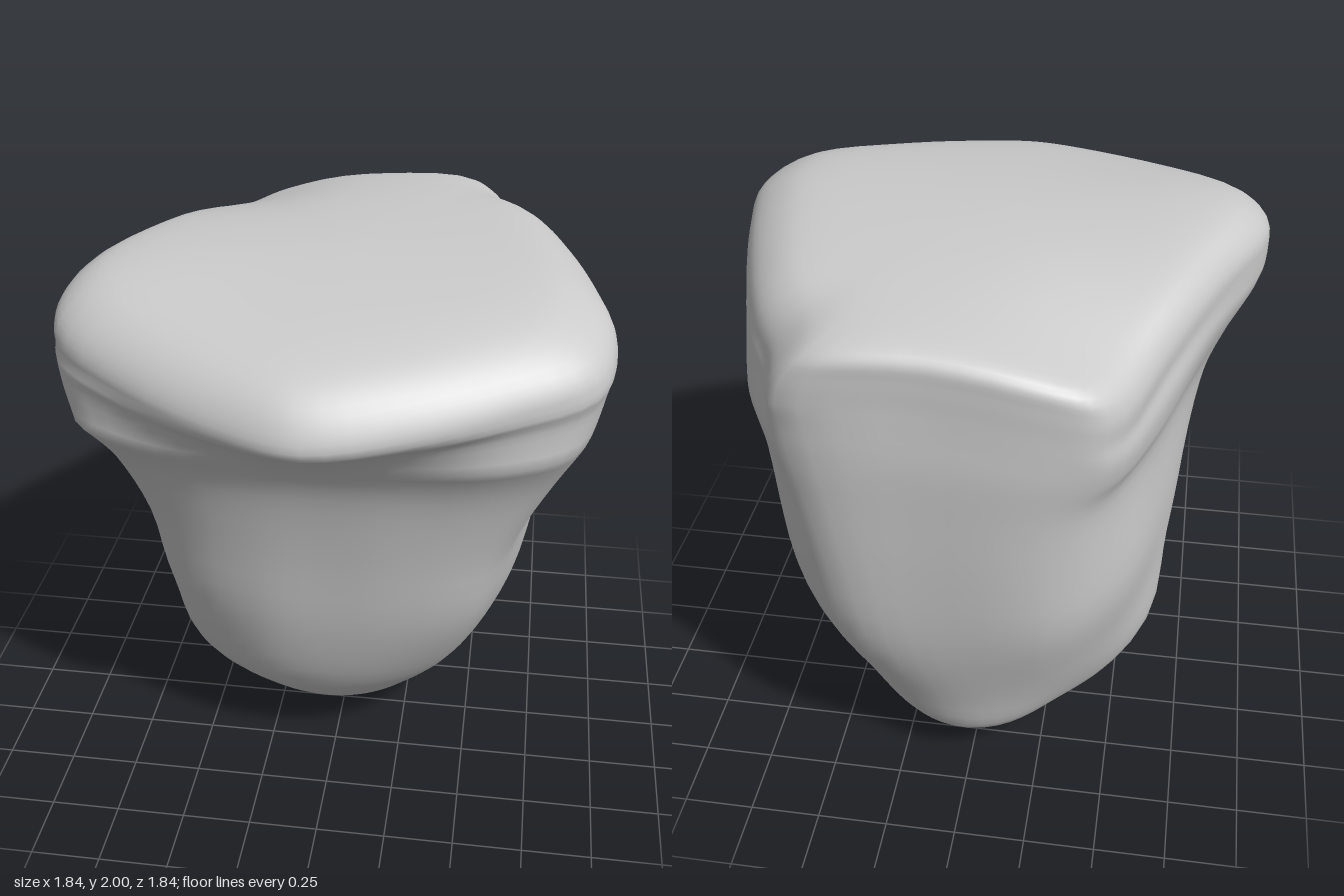
import * as THREE from 'three';

// Plan outlines (x, z), matching point for point, from the front round by +x.
const TOP_OUTLINE = [
  [0, .92], [.3, .84], [.6, .7], [.86, .53], [.92, .28], [.88, .05], [.8, -.25], [.7, -.54], [.61, -.7], [.53, -.9],
  [.1, -.92], [-.3, -.92], [-.46, -.87], [-.61, -.56], [-.77, -.19], [-.92, .2], [-.88, .45], [-.6, .68], [-.22, .87],
];
const SHOULDER_OUTLINE = [
  [0, .67], [.3, .66], [.58, .62], [.8, .5], [.87, .25], [.85, .02], [.8, -.25], [.73, -.55], [.64, -.72], [.5, -.89],
  [.1, -.92], [-.28, -.91], [-.44, -.84], [-.58, -.58], [-.7, -.2], [-.81, .18], [-.8, .48], [-.57, .61], [-.24, .66],
];
const BODY_OUTLINE = [
  [0, .53], [.25, .53], [.45, .49], [.58, .41], [.67, .18], [.73, -.08], [.72, -.35], [.67, -.58], [.58, -.73], [.42, -.88],
  [.1, -.9], [-.25, -.89], [-.42, -.8], [-.56, -.6], [-.65, -.3], [-.7, .05], [-.66, .26], [-.52, .43], [-.25, .52],
];
// Extents by height: y, xMin, xMax, zFront, zBack
const LEVELS = [
  [0, -.1, 0, -.12, -.26],
  [.03, -.2, .16, -.02, -.4],
  [.1, -.32, .29, .1, -.54],
  [.2, -.5, .4, .23, -.7],
  [.4, -.65, .54, .39, -.77],
  [.7, -.67, .66, .49, -.85],
  [1.05, -.7, .73, .55, -.89],
  [1.35, -.76, .81, .62, -.91],
  [1.55, -.85, .88, .71, -.92],
  [1.7, -.91, .91, .82, -.92],
  [1.79, -.92, .92, .92, -.92],
  [1.88, -.91, .88, .9, -.92],
  [1.95, -.83, .77, .82, -.91],
  [1.98, -.7, .64, .68, -.82],
  [1.99, -.4, .4, .4, -.5],
  [1.995, -.08, .08, .08, -.12],
];
const SEGMENTS = 76, STEPS = 4;
const { lerp, smoothstep, clamp } = THREE.MathUtils;

// Smooth closed outline, scaled to 0..1 in both directions
function unitOutline(points) {
  const curve = new THREE.CatmullRomCurve3(points.map(([x, z]) => new THREE.Vector3(x, 0, z)), true, 'centripetal');
  const box = new THREE.Box3().setFromPoints(curve.getPoints(200));
  const size = box.getSize(new THREE.Vector3());
  return Array.from({ length: SEGMENTS }, (_, i) => {
    const p = curve.getPoint(i / SEGMENTS).sub(box.min);
    return [p.x / size.x, p.z / size.z];
  });
}

// The same outline pulled onto a circle for the base, flattened at one back corner
function roundOutline(outline) {
  return outline.map(([u, v]) => {
    const direction = new THREE.Vector2(u - .5, v - .5).normalize();
    const corner = Math.max(0, -(direction.x + direction.y) / Math.SQRT2);
    direction.multiplyScalar(.5 * (1 - .22 * corner ** 4));
    return [.5 + direction.x, .5 + direction.y];
  });
}

// Catmull-Rom value between neighbouring levels
function levelAt(t) {
  const last = LEVELS.length - 1, i = Math.min(Math.floor(t), last - 1), f = t - i;
  const row = (k) => LEVELS[clamp(k, 0, last)];
  return LEVELS[0].map((_, c) => {
    const a = row(i - 1)[c], b = row(i)[c], d = row(i + 1)[c], e = row(i + 2)[c];
    return b + .5 * f * (d - a + f * (2 * a - 5 * b + 4 * d - e + f * (3 * (b - d) + e - a)));
  });
}

// Slope of the top, with worn back corners and a slightly raised side
function topOffset(x, z, y) {
  const bump = (height, cx, cz, spread) => height * Math.exp(-((x - cx) ** 2 + (z - cz) ** 2) / spread);
  const tilt = (z > -.15 ? -.1 : -.06) * (z + .15) ** 2 + .02 * x;
  const wear = bump(-.06, .6, -.8, .04) + bump(-.11, -.55, -.8, .12) + bump(.02, -.7, .25, .12);
  return smoothstep(y, 1.3, 1.8) * (tilt + wear);
}

function rockGeometry() {
  const body = unitOutline(BODY_OUTLINE);
  const outlines = [roundOutline(body), body, unitOutline(SHOULDER_OUTLINE), unitOutline(TOP_OUTLINE)];
  const positions = [], indices = [];
  const rings = (LEVELS.length - 1) * STEPS + 1;

  for (let r = 0; r < rings; r++) {
    const [y, xMin, xMax, zFront, zBack] = levelAt(r / STEPS);
    const blends = [smoothstep(y, .15, .95), smoothstep(y, .9, 1.5), clamp((y - 1.55) / .24, 0, 1)];
    for (let s = 0; s < SEGMENTS; s++) {
      const blended = (axis) => blends.reduce((value, b, k) => lerp(value, outlines[k + 1][s][axis], b), outlines[0][s][axis]);
      const x = lerp(xMin, xMax, blended(0));
      const z = lerp(zBack, zFront, blended(1));
      positions.push(x, Math.max(0, y + topOffset(x, z, y)), z);
      if (r === 0) continue;
      const n = (s + 1) % SEGMENTS, lo = (r - 1) * SEGMENTS, hi = r * SEGMENTS;
      indices.push(lo + s, lo + n, hi + n, lo + s, hi + n, hi + s);
    }
  }

  // Close the underside and the top
  const bottom = rings * SEGMENTS, crown = bottom + 1, lastRing = (rings - 1) * SEGMENTS;
  positions.push(-.05, 0, -.2, 0, 1.995, -.02);
  for (let s = 0; s < SEGMENTS; s++) {
    const n = (s + 1) % SEGMENTS;
    indices.push(bottom, n, s, crown, lastRing + s, lastRing + n);
  }

  const geometry = new THREE.BufferGeometry();
  geometry.setAttribute('position', new THREE.Float32BufferAttribute(positions, 3));
  geometry.setIndex(indices);
  geometry.computeVertexNormals();
  return geometry;
}

export function createModel() {
  const group = new THREE.Group();
  const rock = new THREE.Mesh(rockGeometry(), new THREE.MeshStandardMaterial({ color: 0xcccccc }));
  rock.name = 'rock';
  group.add(rock);
  return group;
}
